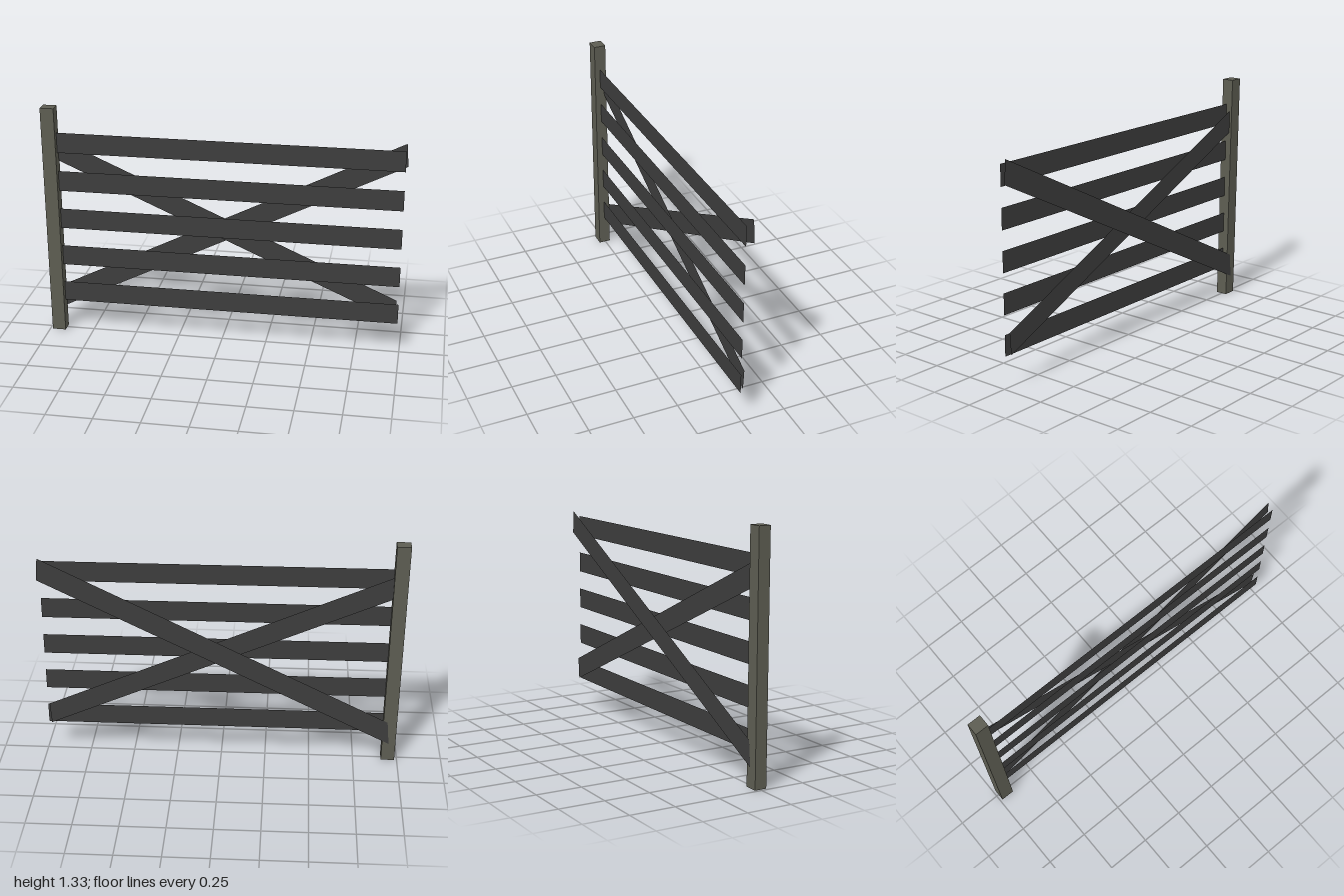
import * as THREE from 'three';

const postMaterial = new THREE.MeshStandardMaterial({ color: 0x5d5d52 });
postMaterial.name = 'weathered post';
const plankMaterial = new THREE.MeshStandardMaterial({ color: 0x3d3d3d, side: THREE.DoubleSide });
plankMaterial.name = 'dark plank';

// A flat board cut to four corners in the xy plane
function plank(name, corners, z) {
  const shape = new THREE.Shape(corners.map(([x, y]) => new THREE.Vector2(x, y)));
  const mesh = new THREE.Mesh(new THREE.ShapeGeometry(shape), plankMaterial);
  mesh.name = name;
  mesh.position.z = z;
  return mesh;
}

export function createModel() {
  const gate = new THREE.Group();
  gate.name = 'gate';

  // Square post, leaning slightly towards -x and -z as it rises
  const height = 1.325;
  const postGeometry = new THREE.BoxGeometry(0.076, height, 0.067).translate(0, height / 2, 0);
  const p = postGeometry.attributes.position;
  for (let i = 0; i < p.count; i++) {
    const t = p.getY(i) / height;
    p.setX(i, p.getX(i) - 0.948 - 0.013 * t);
    p.setZ(i, p.getZ(i) + 0.004 - 0.006 * t);
  }
  postGeometry.computeVertexNormals();
  const post = new THREE.Mesh(postGeometry, postMaterial);
  post.name = 'post';
  gate.add(post);

  // Five horizontal rails, their left ends set into the post
  for (let i = 0; i < 5; i++) {
    const y = 0.232 + i * 0.2225;
    const h = 0.058;
    gate.add(plank(`rail${i + 1}`, [[-0.95, y - h], [0.985, y - h], [0.985, y + h], [-0.95, y + h]], 0.002));
  }

  // Two crossing braces behind the rails
  gate.add(plank('fallingBrace', [[-0.94, 1.02], [0.965, 0.18], [0.973, 0.303], [-0.94, 1.148]], -0.021));
  gate.add(plank('risingBrace', [[-0.948, 0.11], [0.997, 1.082], [0.986, 1.21], [-0.935, 0.25]], -0.035));

  return gate;
}
